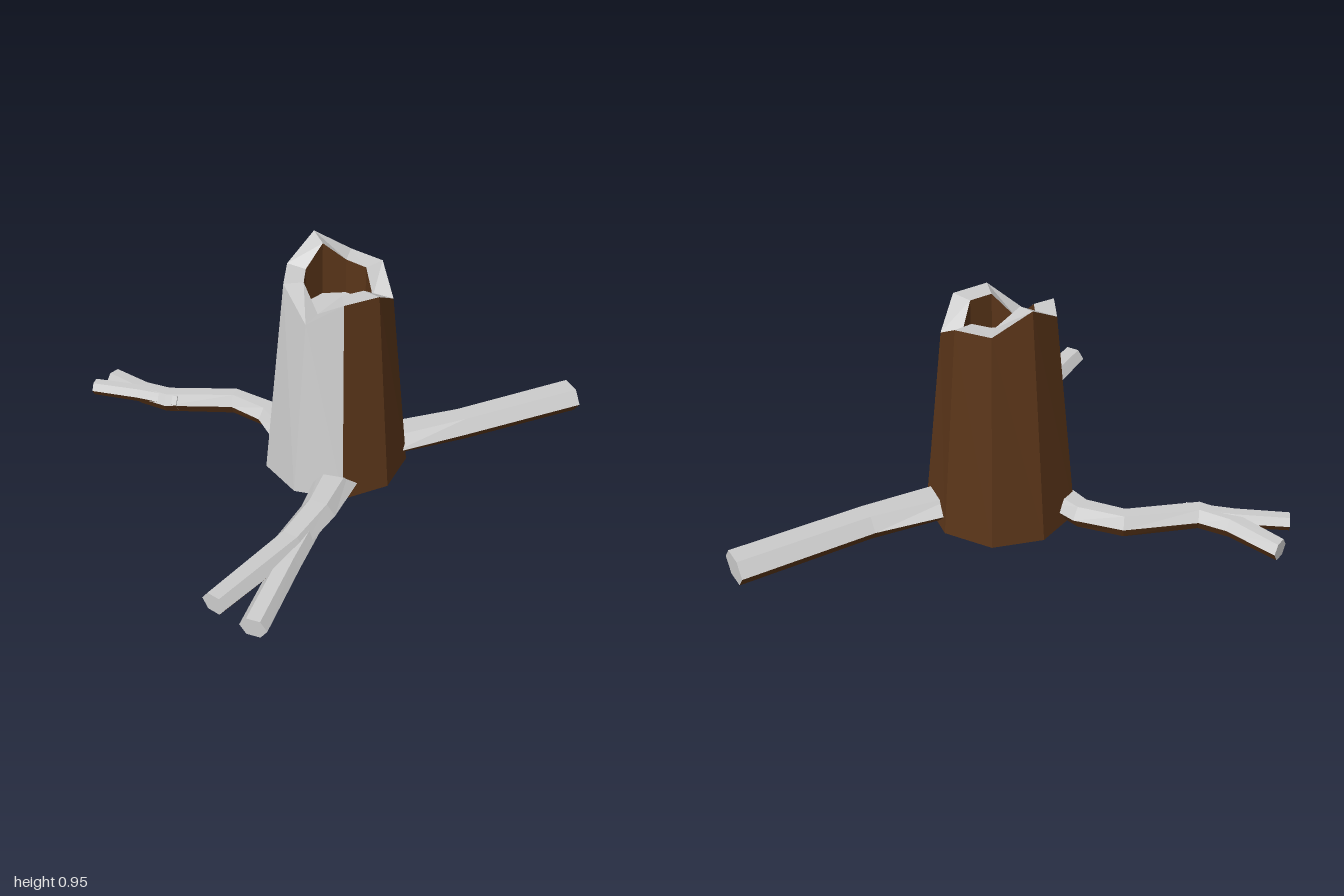
import * as THREE from 'three';

const bark = new THREE.MeshStandardMaterial({ color: 0x5a3519, flatShading: true });
const wood = new THREE.MeshStandardMaterial({ color: 0xcccccc, flatShading: true });

// Collects flat polygons (fanned into triangles), split into bark and bare wood
class Faces {
  constructor() { this.lists = { bark: [], wood: [] }; }
  add(isBark, pts) {
    const out = isBark ? this.lists.bark : this.lists.wood;
    for (let i = 1; i < pts.length - 1; i++) {
      for (const p of [pts[0], pts[i], pts[i + 1]]) out.push(p.x, p.y, p.z);
    }
  }
  group(name) {
    const g = new THREE.Group();
    g.name = name;
    for (const [kind, material] of [['bark', bark], ['wood', wood]]) {
      const geo = new THREE.BufferGeometry();
      geo.setAttribute('position', new THREE.Float32BufferAttribute(this.lists[kind], 3));
      geo.computeVertexNormals();
      const mesh = new THREE.Mesh(geo, material);
      mesh.name = name + (kind === 'bark' ? 'Bark' : 'Wood');
      g.add(mesh);
    }
    return g;
  }
}

// Hollow nine-sided trunk with a ragged rim
function makeTrunk() {
  const N = 9;
  const rim = [0.87, 0.865, 0.78, 0.865, 0.865, 0.76, 0.865, 0.87, 0.955];
  const ring = (r, yAt) => Array.from({ length: N }, (_, i) => {
    const a = (i / N) * Math.PI * 2;
    return new THREE.Vector3(0.075 + r * Math.sin(a), yAt(i), -0.205 - r * Math.cos(a));
  });
  const rings = [
    ring(0.287, () => 0.03),
    ring(0.21, (i) => rim[i]),
    ring(0.132, (i) => 0.855 + (rim[i] - 0.86) * 0.88),
    ring(0.132, () => 0.72),
  ];
  const f = new Faces();
  for (let b = 0; b < 3; b++) {
    for (let i = 0; i < N; i++) {
      const j = (i + 1) % N;
      const stripped = i >= 4 && i <= 6; // sides where the bark has come off
      const isBark = b === 0 ? !stripped : b === 2;
      f.add(isBark, [rings[b][i], rings[b + 1][i], rings[b + 1][j], rings[b][j]]);
    }
  }
  f.add(true, rings[0]);
  f.add(false, [...rings[3]].reverse());
  return f.group('trunk');
}

// Six-sided root along stations [x, y, z, half width, half height]; bark underneath
function makeRoot(name, stations) {
  const K = 6;
  const up = new THREE.Vector3(0, 1, 0);
  const centres = stations.map(([x, y, z]) => new THREE.Vector3(x, y, z));
  const rings = stations.map(([, , , w, h], i) => {
    const t = new THREE.Vector3();
    if (i > 0) t.add(centres[i].clone().sub(centres[i - 1]).setY(0).normalize());
    if (i < centres.length - 1) t.add(centres[i + 1].clone().sub(centres[i]).setY(0).normalize());
    const side = t.normalize().cross(up);
    return Array.from({ length: K }, (_, k) => {
      const a = (k / K) * Math.PI * 2;
      return centres[i].clone()
        .addScaledVector(side, w * Math.cos(a))
        .addScaledVector(up, h * Math.sin(a) / 0.866);
    });
  });
  const f = new Faces();
  for (let i = 0; i < rings.length - 1; i++) {
    for (let k = 0; k < K; k++) {
      const m = (k + 1) % K;
      f.add(k >= 3, [rings[i][k], rings[i + 1][k], rings[i + 1][m], rings[i][m]]);
    }
  }
  f.add(false, rings[0]);
  f.add(false, [...rings[rings.length - 1]].reverse());
  return f.group(name);
}

export function createModel() {
  const model = new THREE.Group();
  model.name = 'treeStump';
  model.add(makeTrunk());

  // Straight root toward the back
  model.add(makeRoot('backRoot', [
    [0.25, 0.085, -0.28, 0.1, 0.045],
    [0.54, 0.088, -0.465, 0.075, 0.05],
    [0.95, 0.093, -0.782, 0.078, 0.052],
  ]));

  // Wavy forked root on one side
  model.add(makeRoot('sideRoot', [
    [-0.13, 0.085, -0.22, 0.07, 0.045],
    [-0.24, 0.09, -0.325, 0.057, 0.045],
    [-0.4, 0.095, -0.372, 0.048, 0.045],
    [-0.67, 0.1, -0.302, 0.05, 0.042],
    [-0.79, 0.09, -0.335, 0.045, 0.04],
    [-0.965, 0.068, -0.435, 0.042, 0.035],
  ]));
  model.add(makeRoot('sideRootFork', [
    [-0.62, 0.105, -0.3, 0.04, 0.033],
    [-0.8, 0.103, -0.31, 0.036, 0.03],
    [-1.0, 0.102, -0.307, 0.035, 0.028],
  ]));

  // Forked root toward the front
  model.add(makeRoot('frontRoot', [
    [0.14, 0.085, -0.02, 0.085, 0.045],
    [0.115, 0.083, 0.22, 0.07, 0.045],
    [0.06, 0.08, 0.42, 0.062, 0.042],
    [-0.11, 0.088, 0.81, 0.053, 0.037],
  ]));
  model.add(makeRoot('frontRootFork', [
    [0.1, 0.075, 0.32, 0.05, 0.036],
    [0.075, 0.062, 0.52, 0.052, 0.037],
    [0.043, 0.038, 0.84, 0.053, 0.037],
  ]));

  return model;
}
